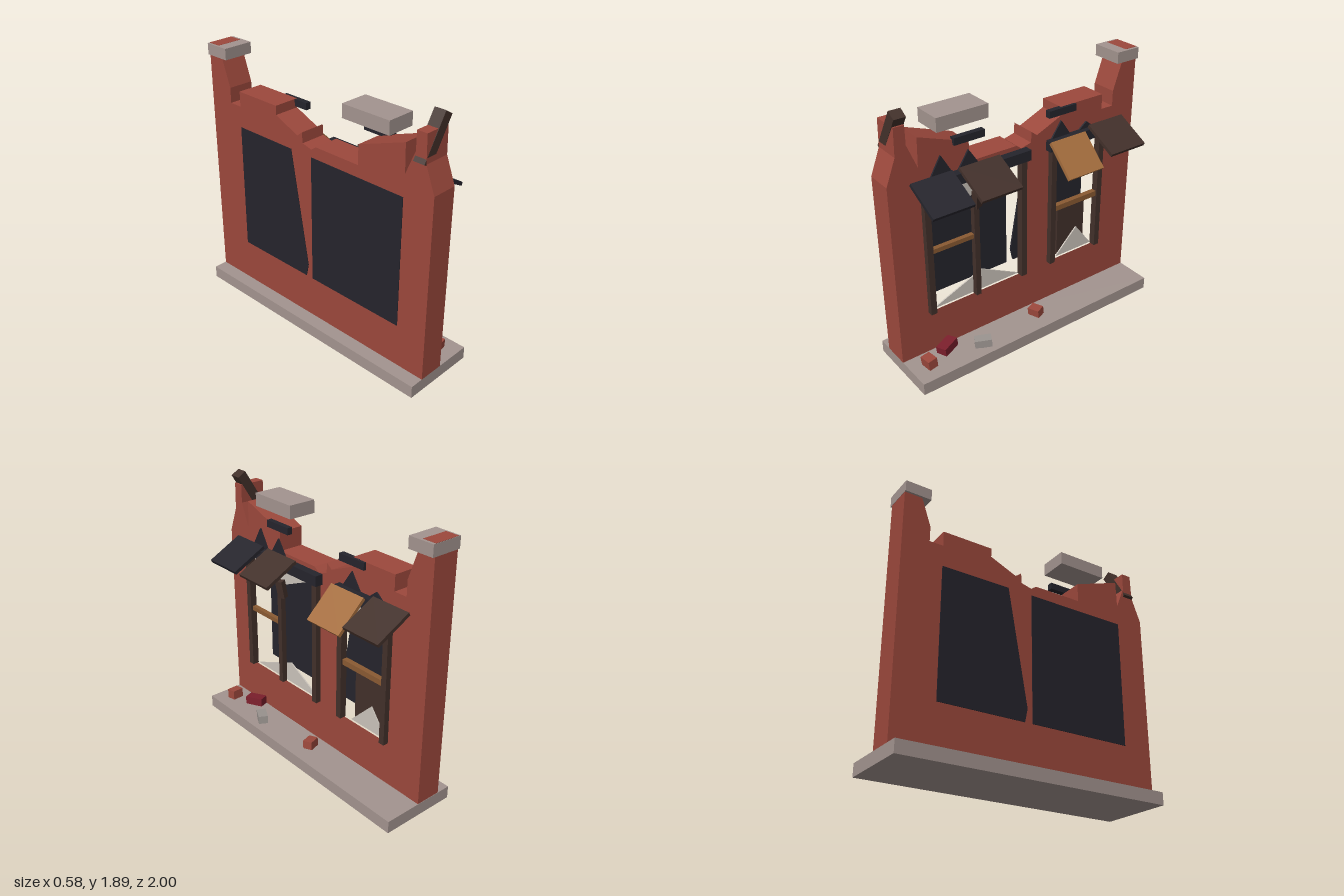
import * as THREE from 'three';

const COLORS = {
  brick: 0x9c483c, stone: 0xa3948f, dark: 0x25242c, wood: 0x42302a,
  plank: 0x8a5a32, board: 0xa36c3c, glass: 0xcbc4bb, crimson: 0x7c1f2c, rubble: 0x9a938f,
};
const MATERIALS = {};
for (const key in COLORS) {
  MATERIALS[key] = new THREE.MeshStandardMaterial({ color: COLORS[key], flatShading: true });
}

export function createModel() {
  const model = new THREE.Group();

  const add = (name, geometry, color) => {
    const mesh = new THREE.Mesh(geometry, MATERIALS[color]);
    mesh.name = name;
    model.add(mesh);
    return mesh;
  };
  // Box given by its extents on each axis
  const block = (name, color, [x0, x1], [y0, y1], [z0, z1]) => {
    const mesh = add(name, new THREE.BoxGeometry(x1 - x0, y1 - y0, z1 - z0), color);
    mesh.position.set((x0 + x1) / 2, (y0 + y1) / 2, (z0 + z1) / 2);
    return mesh;
  };
  // Outline of [z, y] points, extruded from x0 to x1
  const toPoints = (pts) => pts.map(([z, y]) => new THREE.Vector2(-z, y));
  const slab = (name, color, pts, x0, x1, holes = []) => {
    const shape = new THREE.Shape(toPoints(pts));
    for (const hole of holes) shape.holes.push(new THREE.Path(toPoints(hole)));
    const geometry = new THREE.ExtrudeGeometry(shape, { depth: x1 - x0, bevelEnabled: false });
    geometry.rotateY(Math.PI / 2).translate(x0, 0, 0);
    return add(name, geometry, color);
  };
  const rect = (z0, z1, y0, y1) => [[z0, y0], [z1, y0], [z1, y1], [z0, y1]];

  // Foundation and ruined wall with two openings
  block('foundation', 'stone', [-0.29, 0.27], [0, 0.09], [-1, 1]);
  slab('brokenWall', 'brick', [
    [1, 0.09], [1, 1.43], [0.93, 1.61], [0.925, 1.8], [0.85, 1.8], [0.85, 1.67],
    [0.78, 1.5], [0.775, 1.7], [0.41, 1.57], [0.41, 1.43], [0.04, 1.43], [0, 1.4],
    [-0.08, 1.42], [-0.085, 1.495], [-0.13, 1.46], [-0.33, 1.545], [-0.33, 1.61],
    [-0.7, 1.61], [-0.7, 1.5], [-0.8, 1.5], [-0.8, 1.61], [-0.87, 1.81],
    [-0.9, 1.892], [-0.998, 1.892], [-0.998, 0.09],
  ], -0.19, 0, [rect(0.02, 0.76, 0.41, 1.34), rect(-0.68, -0.25, 0.41, 1.34)]);

  // Dark backing behind the openings
  slab('leftBacking', 'dark', rect(0, 0.775, 0.405, 1.345), -0.194, -0.18);
  slab('rightBacking', 'dark',
    [[-0.7, 0.405], [-0.06, 0.405], [-0.04, 0.5], [-0.19, 1.345], [-0.7, 1.345]], -0.194, -0.18);

  // Stone cap, loose coping stone and fallen beam
  block('pierCap', 'stone', [-0.205, 0.02], [1.81, 1.89], [-1, -0.81]);
  block('copingStone', 'stone', [-0.19, 0.02], [1.7, 1.795], [0.27, 0.65]);
  const beam = block('fallenBeam', 'wood', [-0.127, -0.057], [1.57, 1.9], [0.846, 0.929]);
  beam.rotation.z = -0.545;

  // Window posts
  for (const z of [0.755, 0.003, -0.255, -0.68]) {
    block('windowPost', 'wood', [-0.01, 0.04], [0.41, 1.34], [z - 0.022, z + 0.022]);
  }
  block('centrePost', 'wood', [-0.005, 0.035], [0.41, 1.13], [0.37, 0.41]);
  const stub = block('snappedPost', 'wood', [0, 0.045], [1.095, 1.225], [0.35, 0.405]);
  stub.rotation.set(0.12, 0.3, -0.15);

  // Cross planks and leaning board
  block('crossPlank', 'plank', [-0.01, 0.025], [0.87, 0.902], [0.41, 0.735]);
  block('crossPlank', 'plank', [-0.01, 0.03], [0.835, 0.875], [-0.66, -0.28]);
  block('doorBoard', 'wood', [-0.06, -0.03], [0.41, 0.835], [-0.6, -0.35]);

  // Lintels and loose charred timbers
  block('lintel', 'dark', [0, 0.06], [1.325, 1.4], [-0.04, 0.8]);
  block('lintel', 'dark', [0, 0.05], [1.325, 1.4], [-0.74, -0.21]);
  block('looseTimber', 'dark', [-0.02, 0.02], [1.58, 1.63], [0.3, 0.53]);
  block('looseTimber', 'dark', [-0.02, 0.02], [1.56, 1.61], [-0.45, -0.22]);

  // Glass shards left in the frames
  const shards = [
    [[0.73, 0.41], [0.02, 0.41], [0.33, 0.57]],
    [[0.72, 1.34], [0.7, 1.29], [0.41, 1.17], [0.02, 1.33], [0.02, 1.34]],
    [[-0.33, 0.41], [-0.665, 0.41], [-0.52, 0.6]],
    [[-0.27, 1.34], [-0.28, 1.29], [-0.47, 1.18], [-0.68, 1.31], [-0.68, 1.34]],
  ];
  for (const shard of shards) slab('glassShard', 'glass', shard, -0.025, -0.015);

  // Scorch spikes above the openings
  for (const [z, top] of [[0.625, 1.54], [0.42, 1.52], [-0.33, 1.515], [-0.555, 1.45]]) {
    slab('scorchSpike', 'dark', [[z + 0.1, 1.37], [z - 0.1, 1.37], [z, top]], 0, 0.012);
  }

  // Sloping awning boards: start and end of the slope in x and y
  const awnings = [
    ['dark', 0.56, 0.86, 0.03, 1.42, 0.28, 1.29],
    ['wood', 0.2, 0.51, 0.03, 1.42, 0.28, 1.29],
    ['wood', -0.86, -0.555, 0.03, 1.42, 0.28, 1.29],
    ['board', -0.5, -0.2, 0.055, 1.4, 0.26, 1.205],
  ];
  for (const [color, z0, z1, xa, ya, xb, yb] of awnings) {
    const length = Math.hypot(xb - xa, yb - ya);
    const mesh = add('awningBoard', new THREE.BoxGeometry(length, 0.025, z1 - z0), color);
    mesh.position.set((xa + xb) / 2, (ya + yb) / 2, (z0 + z1) / 2);
    mesh.rotation.z = Math.atan2(yb - ya, xb - xa);
  }

  // Rubble on the foundation: centre x, z, size x, y, z and turn
  const rubble = [
    ['brick', 0.13, 0.87, 0.09, 0.07, 0.07, 0.1],
    ['crimson', 0.06, 0.685, 0.08, 0.06, 0.14, 0.4],
    ['rubble', 0.17, 0.46, 0.07, 0.06, 0.12, -0.5],
    ['brick', 0.115, -0.045, 0.09, 0.06, 0.07, 0.35],
  ];
  for (const [color, x, z, sx, sy, sz, turn] of rubble) {
    const mesh = block('rubbleBrick', color, [x - sx / 2, x + sx / 2], [0.09, 0.09 + sy], [z - sz / 2, z + sz / 2]);
    mesh.rotation.set(0.08, turn, 0.04);
  }

  return model;
}
